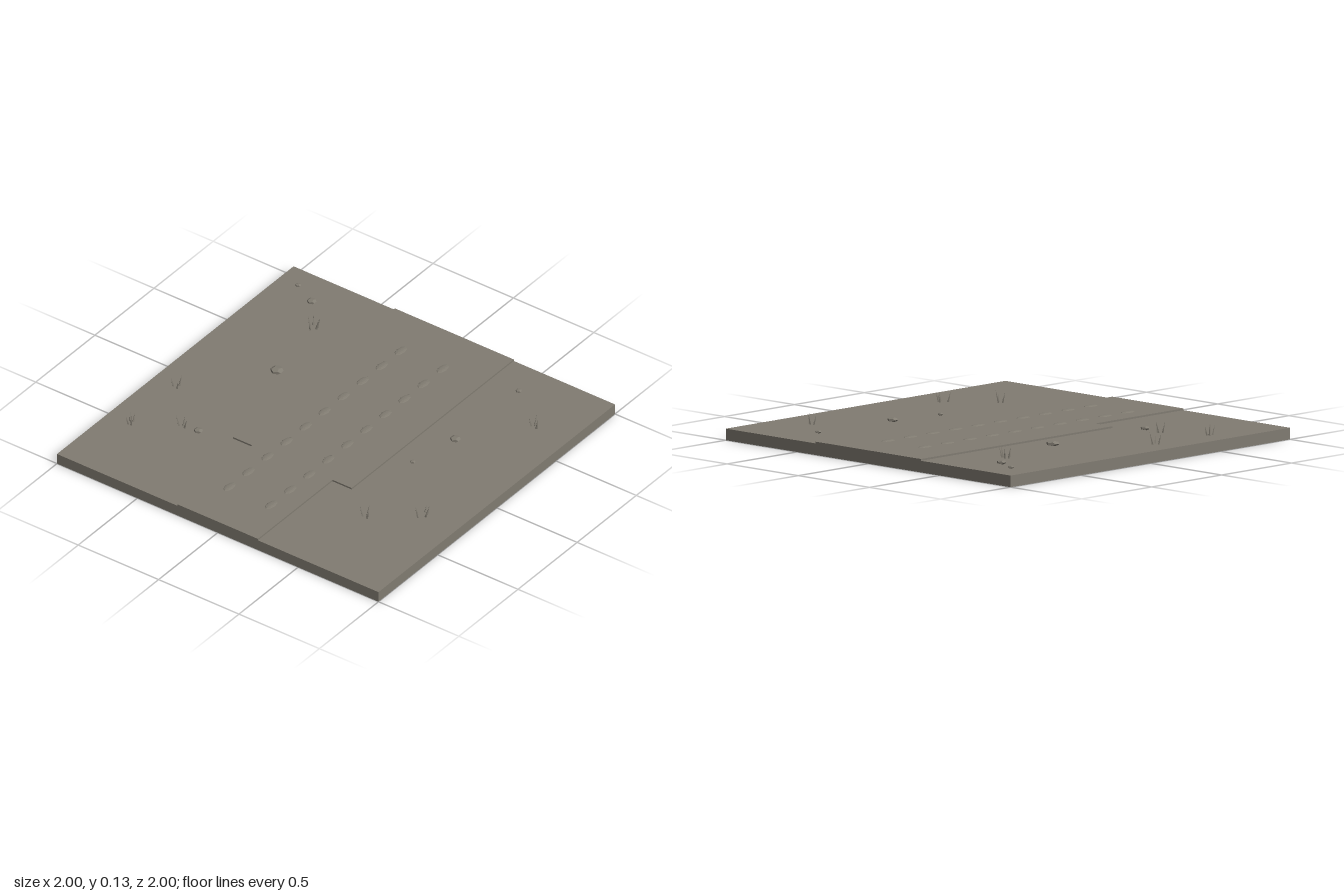
import * as THREE from 'three';

const GROUND = 0.059, PATH = 0.068;

export function createModel() {
  const group = new THREE.Group();
  const earth = new THREE.MeshStandardMaterial({ color: 0x807b71, flatShading: true });
  earth.name = 'grey earth';

  const add = (name, geometry, x, y, z) => {
    const mesh = new THREE.Mesh(geometry, earth);
    mesh.name = name;
    mesh.position.set(x, y, z);
    group.add(mesh);
    return mesh;
  };
  let seed = 7;
  const random = () => (seed = (seed * 16807) % 2147483647) / 2147483647;

  // Ground slab
  add('ground', new THREE.BoxGeometry(2, GROUND, 2), 0, GROUND / 2, 0);

  // Raised path, wide at the back and narrow at the front
  const outline = new THREE.Shape([
    [-0.25, -1], [0.25, -1], [0.25, -0.37], [0.37, -0.37],
    [0.37, 1], [-0.37, 1], [-0.37, -0.37], [-0.25, -0.37],
  ].map(([x, y]) => new THREE.Vector2(x, y)));
  const pathGeometry = new THREE.ExtrudeGeometry(outline, { depth: PATH - GROUND, bevelEnabled: false });
  pathGeometry.rotateX(-Math.PI / 2);
  add('path', pathGeometry, 0, GROUND, 0);

  // Two rows of low oval bumps along the path
  const bumpGeometry = new THREE.SphereGeometry(1, 8, 6);
  for (let i = 0; i < 10; i++) {
    for (const side of [-1, 1]) {
      add('pathBump', bumpGeometry, side * 0.13, PATH, -0.725 + i * 0.161)
        .scale.set(0.023, 0.006, 0.045);
    }
  }

  // Flattened stones: x, z, radius
  const stoneGeometry = new THREE.DodecahedronGeometry(1);
  for (const [x, z, r] of [
    [-0.875, -0.87, 0.015], [-0.74, -0.8, 0.025], [-0.53, -0.22, 0.035], [0.54, -0.275, 0.028],
    [0.552, -0.795, 0.016], [0.485, 0.01, 0.014], [-0.54, 0.43, 0.024],
  ]) {
    add('stone', stoneGeometry, x, 0.072, z).scale.set(r, 0.004 + r * 0.3, r);
  }

  // Grass tufts made of leaning blades: x, z, blade count, spread along x and z
  const bladeGeometry = new THREE.ConeGeometry(0.006, 1, 4);
  bladeGeometry.translate(0, 0.5, 0);
  for (const [x, z, count, dx, dz] of [
    [-0.61, -0.635, 5, 0.025, 0.03], [0.79, -0.605, 3, 0.025, 0.01], [-0.86, 0.18, 3, 0.02, 0.02],
    [-0.635, 0.44, 3, 0.022, 0.01], [-0.86, 0.565, 4, 0.022, 0.02], [0.565, 0.52, 3, 0.02, 0.012],
    [0.785, 0.34, 5, 0.03, 0.035],
  ]) {
    for (let i = 0; i < count; i++) {
      const angle = (i / count) * Math.PI * 2 + random();
      const blade = add('grassBlade', bladeGeometry,
        x + Math.cos(angle) * dx * 0.8, GROUND - 0.002, z + Math.sin(angle) * dz * 0.8);
      blade.scale.y = 0.045 + random() * 0.03;
      blade.rotation.set(Math.sin(angle) * 0.25, 0, -Math.cos(angle) * 0.25);
    }
  }
  return group;
}
